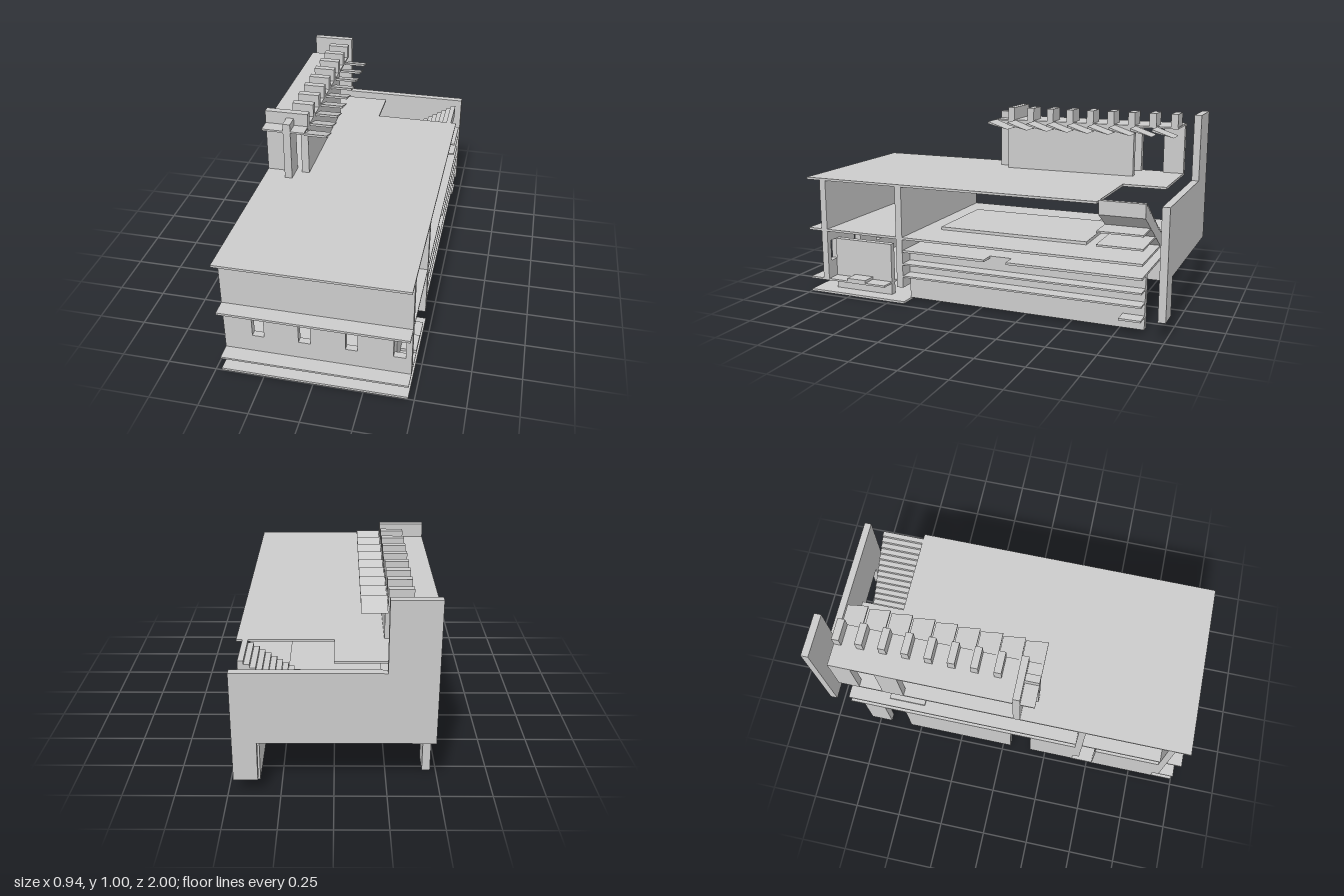
import * as THREE from 'three';

const mat = new THREE.MeshStandardMaterial({ color: 0xcccccc, flatShading: true });

export function createModel() {
  const model = new THREE.Group();

  function add(name, geometry, material = mat) {
    const mesh = new THREE.Mesh(geometry, material);
    mesh.name = name;
    model.add(mesh);
    return mesh;
  }
  // box given by its extents on each axis
  function box(name, x0, x1, y0, y1, z0, z1) {
    const g = new THREE.BoxGeometry(x1 - x0, y1 - y0, z1 - z0);
    g.translate((x0 + x1) / 2, (y0 + y1) / 2, (z0 + z1) / 2);
    return add(name, g);
  }
  const shapeOf = (pts) => new THREE.Shape(pts.map(([x, y]) => new THREE.Vector2(x, y)));
  // upright panel: outline in x,y, thickness from z0 to z1
  function panel(name, shape, z0, z1) {
    const g = new THREE.ExtrudeGeometry(shape, { depth: z1 - z0, bevelEnabled: false });
    return add(name, g.translate(0, 0, z0));
  }
  // flat slab: outline in x,z, thickness from y0 to y1
  function slab(name, pts, y0, y1) {
    const shape = shapeOf(pts.map(([x, z]) => [x, -z]));
    const g = new THREE.ExtrudeGeometry(shape, { depth: y1 - y0, bevelEnabled: false });
    return add(name, g.rotateX(-Math.PI / 2).translate(0, y0, 0));
  }

  const W = 0.47;      // half width
  const BACK = -0.88;  // rear edge of the floors

  // ground and floor slabs
  box('groundSlab', -W, W, 0, 0.012, 0.41, 1);
  box('frontRoomFloor', -W, W, 0.075, 0.085, 0.53, 1);
  box('upperFloor', -W, W, 0.355, 0.367, BACK, 1);
  slab('lowerCeiling', [[-W, 0.41], [W, 0.41], [W, -0.06], [0.39, -0.06], [0.39, -0.18],
    [W, -0.18], [W, BACK], [-W, BACK]], 0.285, 0.297);
  // roof with the stair opening cut from its rear corner
  slab('roof', [[-W, 1], [W, 1], [W, -0.65], [0, -0.65], [0, BACK], [-W, BACK]], 0.638, 0.65);

  // front facade with four windows
  const facade = shapeOf([[-W, 0.085], [W, 0.085], [W, 0.638], [-W, 0.638]]);
  for (const x of [-0.325, -0.09, 0.145, 0.38]) {
    const hole = new THREE.Path();
    hole.moveTo(x, 0.182).lineTo(x, 0.297).lineTo(x + 0.06, 0.297).lineTo(x + 0.06, 0.182).closePath();
    facade.holes.push(hole);
  }
  panel('frontFacade', facade, 0.882, 0.918);
  box('crossWall', -W, W, 0.09, 0.638, 0.413, 0.45);

  // ground level walls
  box('frontRoomWallRight', -W, -0.43, 0.012, 0.297, 0.53, 0.882);
  box('frontRoomWallLeft', 0.355, 0.39, 0.012, 0.297, 0.53, 0.882);
  box('porchStep', 0.39, W, 0.085, 0.1, 0.65, 0.765);
  box('longWallLeft', 0.355, 0.39, 0.012, 0.29, BACK, 0.413);
  for (const [z0, z1] of [[-0.8, -0.68], [-0.56, 0.045], [0.16, 0.413]])
    box('lowerWallRight', -W, -0.43, 0.012, 0.29, z0, z1);

  // side ledges
  for (const y of [0.147, 0.215]) box('sideLedge', 0.355, W, y, y + 0.009, BACK, 0.413);
  box('shortLedge', 0.39, W, 0.075, 0.085, BACK, -0.77);
  box('stairLedgeUpper', 0.22, W, 0.498, 0.507, BACK, -0.65);
  box('stairLedgeLower', 0.13, W, 0.43, 0.44, BACK, -0.65);

  // raised plates on the upper floor
  box('floorPlate', -0.24, 0.235, 0.367, 0.383, -0.53, 0.3);
  box('floorPlateSmall', -0.43, -0.1, 0.367, 0.379, -0.65, -0.45);

  // stair rising towards the left side
  const steps = 16, run = 0.44 / steps, rise = 0.283 / steps;
  const profile = [[0, 0.367]];
  for (let i = 0; i < steps; i++) {
    profile.push([i * run, 0.367 + (i + 1) * rise], [(i + 1) * run, 0.367 + (i + 1) * rise]);
  }
  profile.push([0.44, 0.58], [0.1, 0.367]);
  panel('stair', shapeOf(profile), BACK, -0.65);

  // free-standing rear wall with its tall end and single leg
  panel('rearWall', shapeOf([[-W, 0.29], [0.355, 0.29], [0.355, 0.09], [W, 0.09], [W, 0.65],
    [-0.24, 0.65], [-0.24, 1], [-W, 1]]), -1, -0.962);

  // roof pavilion
  box('pavilionRoof', -W, -0.24, 0.92, 0.93, BACK, 0.175);
  box('pavilionFrontWall', -W, -0.355, 0.65, 1, 0.063, 0.1);
  box('pavilionFrontPost', -0.355, -0.315, 0.65, 0.97, 0.063, 0.175);
  box('pavilionSideWall', -0.28, -0.24, 0.65, 0.92, -0.525, 0.1);
  box('pavilionColumn', -W, -0.43, 0.65, 0.92, BACK, -0.765);
  for (const x of [-W, -0.28]) box('pavilionColumn', x, x + 0.04, 0.65, 0.92, -0.64, -0.525);

  // roof teeth and slanted sun blades, in step with each other
  const pitch = 0.1175;
  for (let i = 0; i < 9; i++) {
    const z = 0.1 - i * pitch;
    box('roofTooth', -0.355, -0.24, 0.93, 1, z - 0.038, z);
    const z0 = 0.175 - i * pitch, z1 = z0 - pitch;
    const blade = shapeOf([[-z0, 0.928], [-z0, 0.915], [-z1, 0.888]]);
    const g = new THREE.ExtrudeGeometry(blade, { depth: 0.12, bevelEnabled: false });
    add('sunBlade', g.rotateY(Math.PI / 2).translate(-0.24, 0, 0));
  }
  return model;
}
